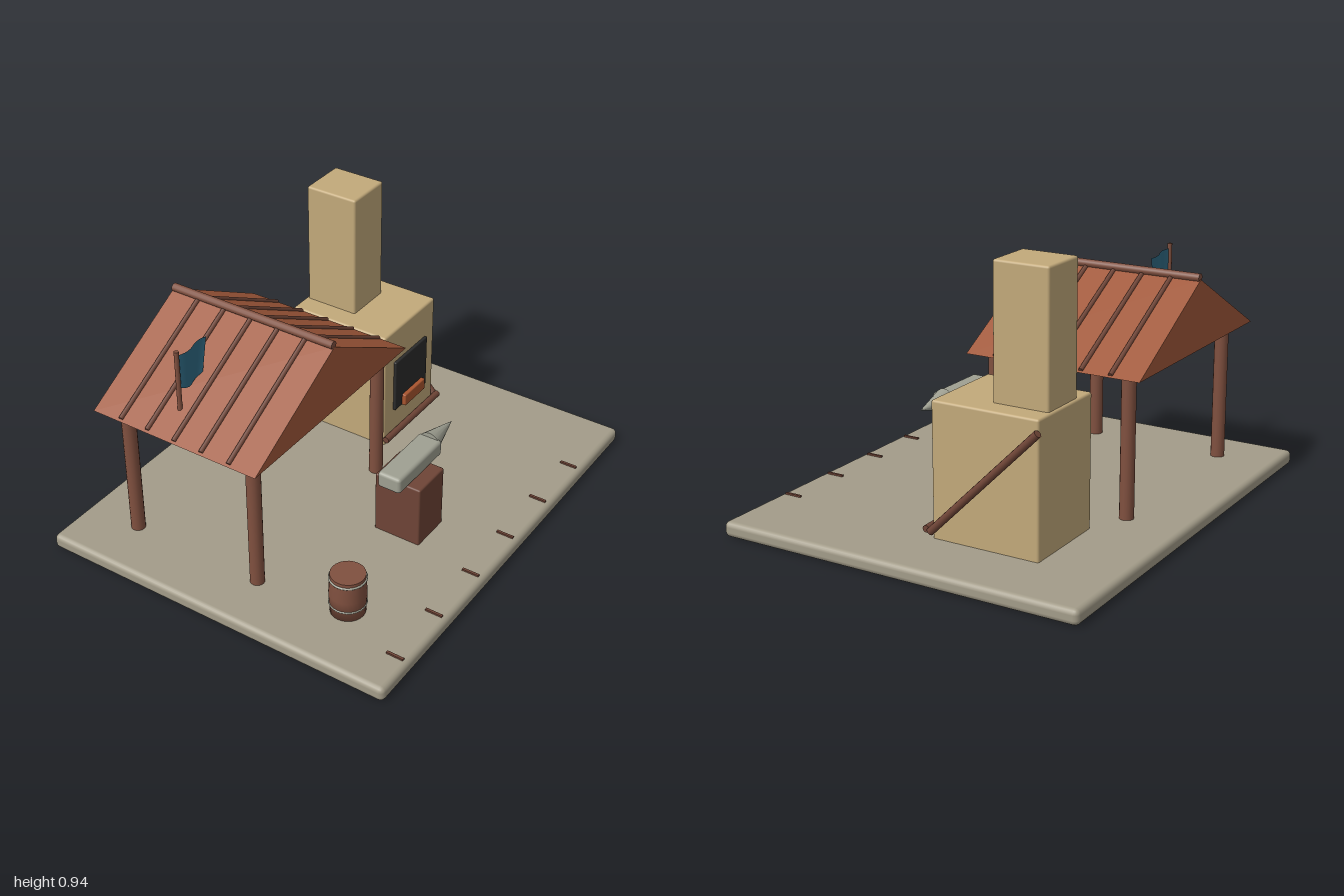
import * as THREE from 'three';
import { RoundedBoxGeometry } from 'three/addons/geometries/RoundedBoxGeometry.js';

const mat = (name, color, side = THREE.FrontSide) => {
  const m = new THREE.MeshStandardMaterial({ color, side });
  m.name = name;
  return m;
};

export function createModel() {
  const stone = mat('paving stone', 0xa39c89);
  const clay = mat('furnace clay', 0xc2a97a);
  const tile = mat('roof red', 0xa0583a);
  const wood = mat('wood', 0x80503f);
  const darkWood = mat('dark wood', 0x6e4436);
  const soot = mat('soot', 0x2b2b2b);
  const ember = mat('ember', 0xa8552f);
  const iron = mat('iron', 0x9fa092);
  const cloth = mat('flag cloth', 0x2f6a84, THREE.DoubleSide);

  const root = new THREE.Group();
  root.name = 'forgeYard';
  // everything is laid out square, then turned 45 degrees
  const yard = new THREE.Group();
  yard.name = 'yard';
  yard.rotation.y = Math.PI / 4;
  root.add(yard);

  const add = (name, geo, material, x = 0, y = 0, z = 0) => {
    const m = new THREE.Mesh(geo, material);
    m.name = name;
    m.position.set(x, y, z);
    yard.add(m);
    return m;
  };
  const block = (name, material, w, h, d, x, y, z, r = 0.008) =>
    add(name, new RoundedBoxGeometry(w, h, d, 2, r), material, x, y + h / 2, z);
  // round pole between two points
  const pole = (name, material, a, b, r, sides = 12) => {
    const from = new THREE.Vector3(...a), to = new THREE.Vector3(...b);
    const dir = to.clone().sub(from);
    const m = add(name, new THREE.CylinderGeometry(r, r, dir.length(), sides), material);
    m.position.copy(from).add(to).multiplyScalar(0.5);
    m.quaternion.setFromUnitVectors(new THREE.Vector3(0, 1, 0), dir.normalize());
    return m;
  };

  // ground slab with short marks along the front edge
  block('groundSlab', stone, 1.568, 0.052, 1.286, 0, 0, 0, 0.018);
  for (let i = 0; i < 6; i++)
    add('edgeMark', new THREE.BoxGeometry(0.009, 0.008, 0.06), darkWood, -0.64 + i * 0.226, 0.054, 0.595);

  // furnace
  block('furnaceBody', clay, 0.322, 0.455, 0.378, 0.392, 0.045, -0.191);
  block('chimney', clay, 0.173, 0.45, 0.194, 0.394, 0.49, -0.274);
  block('furnaceMouth', soot, 0.205, 0.2, 0.016, 0.392, 0.172, 0, 0.004);
  block('emberBed', ember, 0.13, 0.045, 0.035, 0.398, 0.172, 0.005, 0.004);
  pole('hearthRail', darkWood, [0.222, 0.085, 0.012], [0.57, 0.085, 0.012], 0.012);
  pole('leaningPole', darkWood, [0.572, 0.08, -0.005], [0.572, 0.465, -0.388], 0.013);

  // shelter posts
  for (const x of [-0.594, 0.099])
    for (const z of [-0.438, 0.05])
      pole('shelterPost', wood, [x, 0.05, z], [x, 0.56, z], 0.024, 16);

  // gabled roof, a solid wedge with its ridge along z
  const ridgeX = -0.244, half = 0.423, eaveY = 0.535, ridgeY = 0.77;
  const z0 = -0.514, z1 = 0.112;
  const gable = new THREE.Shape();
  gable.moveTo(-half, 0);
  gable.lineTo(half, 0);
  gable.lineTo(0, ridgeY - eaveY);
  gable.closePath();
  add('roof', new THREE.ExtrudeGeometry(gable, { depth: z1 - z0, bevelEnabled: false }),
    tile, ridgeX, eaveY, z0);
  // battens down each slope
  for (const side of [-1, 1])
    for (let i = 1; i <= 5; i++) {
      const z = z0 + (z1 - z0) * i / 6;
      pole('roofBatten', darkWood, [ridgeX, ridgeY, z],
        [ridgeX + side * (half - 0.008), eaveY + 0.006, z], 0.008, 8);
    }
  pole('ridgePole', wood, [ridgeX, 0.776, z0 + 0.002], [ridgeX, 0.776, z1 - 0.002], 0.014);

  // flag standing on the rear slope
  pole('flagPole', wood, [-0.566, 0.53, -0.245], [-0.566, 0.8, -0.245], 0.008);
  const flag = new THREE.PlaneGeometry(0.142, 0.12, 10, 3);
  const p = flag.attributes.position;
  for (let i = 0; i < p.count; i++) {
    const t = p.getX(i) / 0.142 + 0.5, low = 0.5 - p.getY(i) / 0.12;
    p.setXYZ(i, p.getX(i) - 0.025 * t * low,
      p.getY(i) - 0.012 * Math.sin(t * Math.PI) * low - 0.008 * t, 0.008 * Math.sin(t * 6));
  }
  flag.computeVertexNormals();
  add('flag', flag, cloth, -0.49, 0.723, -0.245);

  // anvil on its block
  block('anvilBlock', darkWood, 0.15, 0.23, 0.17, -0.09, 0.045, 0.3, 0.006);
  block('anvilBody', iron, 0.262, 0.058, 0.086, -0.085, 0.273, 0.297, 0.012);
  const horn = add('anvilHorn', new THREE.ConeGeometry(0.038, 0.145, 16), iron, 0.107, 0.31, 0.297);
  horn.rotation.z = -Math.PI / 2;

  // barrel with two hoops
  const staves = [[0, 0], [0.057, 0], [0.061, 0.075], [0.057, 0.15]].map(q => new THREE.Vector2(...q));
  add('barrel', new THREE.LatheGeometry(staves, 24), wood, -0.545, 0.05, 0.362);
  add('barrelLid', new THREE.CylinderGeometry(0.057, 0.057, 0.006, 24), wood, -0.545, 0.197, 0.362);
  for (const y of [0.088, 0.185]) {
    const hoop = add('barrelHoop', new THREE.TorusGeometry(0.058, 0.004, 8, 24), iron, -0.545, y, 0.362);
    hoop.rotation.x = Math.PI / 2;
  }

  return root;
}
